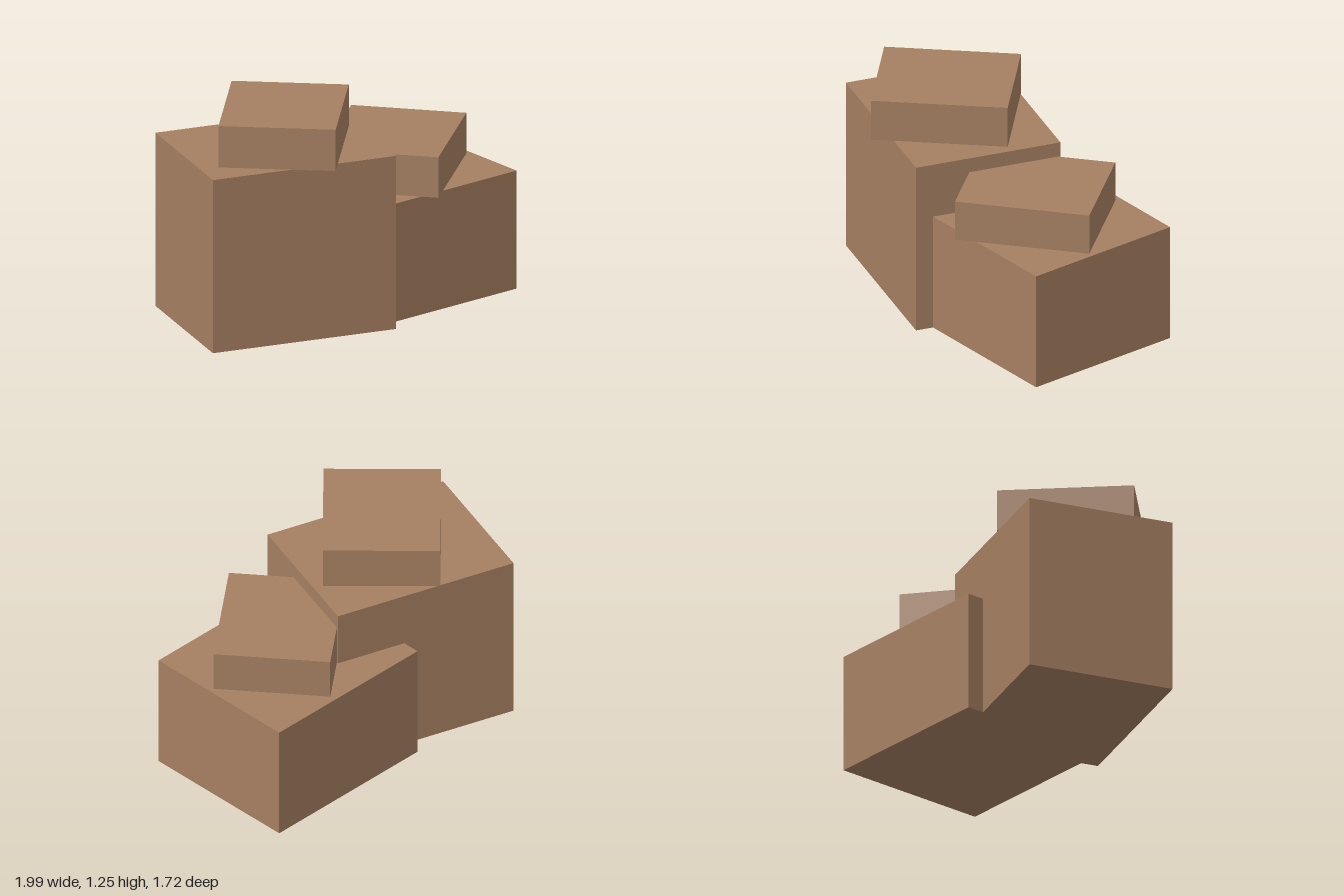
import * as THREE from 'three';

export function createModel() {
  const group = new THREE.Group();
  const cardboard = new THREE.MeshStandardMaterial({ color: 0xa57f61 });
  cardboard.name = 'cardboard brown';

  // A box standing on height y, turned about the vertical axis
  function addBox(name, [w, h, d], [x, y, z], turn) {
    const mesh = new THREE.Mesh(new THREE.BoxGeometry(w, h, d), cardboard);
    mesh.name = name;
    mesh.position.set(x, y + h / 2, z);
    mesh.rotation.y = turn;
    group.add(mesh);
  }

  // Tall stack at the front
  addBox('tallBox', [1.08, 1.005, 0.847], [-0.357, 0, 0.288], 0.31);
  addBox('tallBoxTopper', [0.645, 0.24, 0.755], [-0.316, 1.005, 0.33], -0.167);

  // Low stack at the back
  addBox('lowBox', [1.068, 0.685, 0.939], [0.287, 0, -0.167], 0.619);
  addBox('lowBoxTopper', [0.645, 0.235, 0.755], [0.327, 0.685, -0.125], -0.276);

  return group;
}
